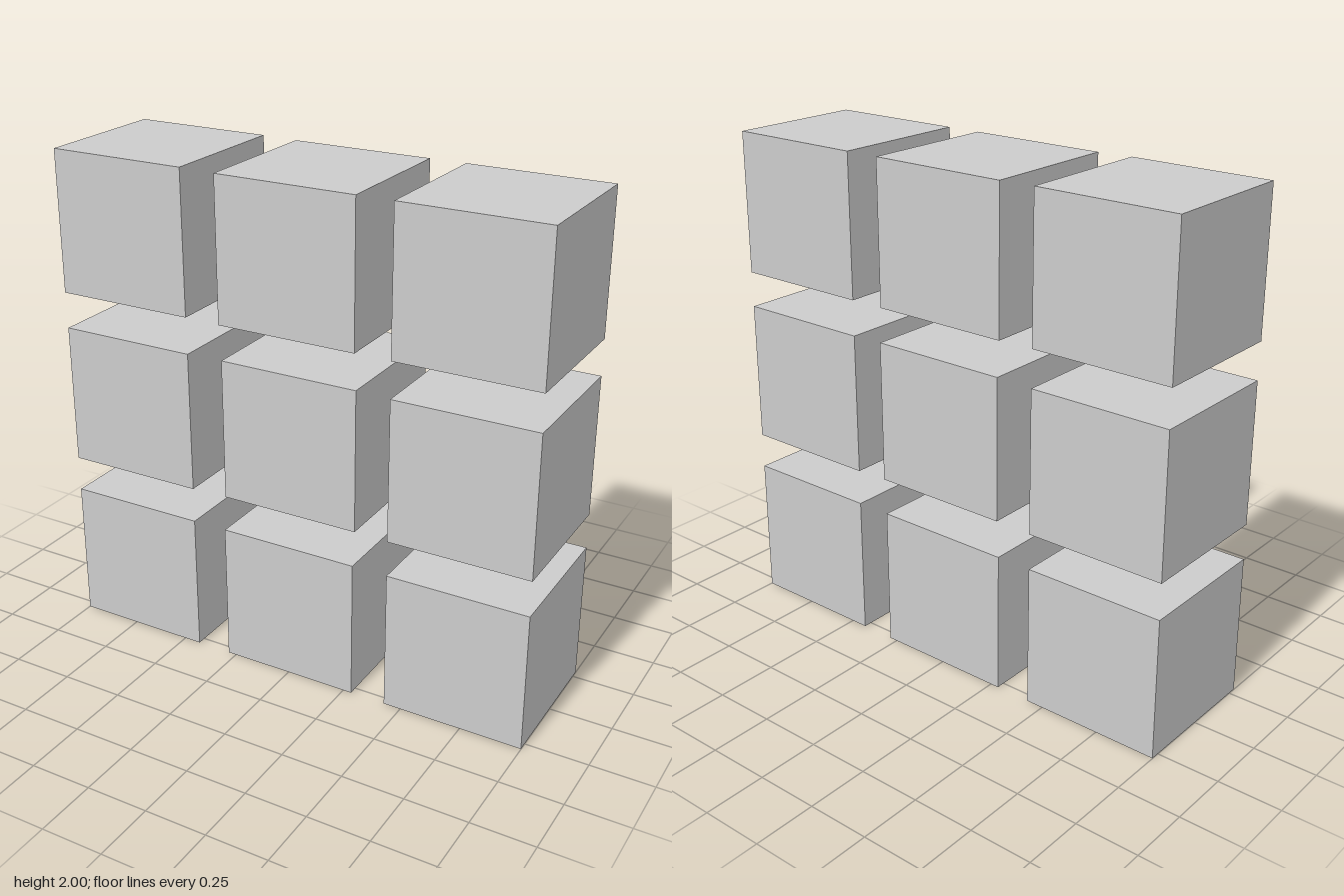
import * as THREE from 'three';

export function createModel() {
  const model = new THREE.Group();
  model.name = 'cubeGrid';

  const size = 0.57;
  const pitch = 0.714;
  const geometry = new THREE.BoxGeometry(size, size, size);
  const material = new THREE.MeshStandardMaterial({ color: 0xcccccc, flatShading: true });

  const rows = ['bottom', 'middle', 'top'];
  const columns = ['Right', 'Centre', 'Left'];
  // Slight hand-placed shifts of single cubes
  const shifts = { middleCentreCube: [0.008, 0.004], topRightCube: [-0.002, 0.003] };

  // Three by three upright wall of separate cubes
  rows.forEach((row, r) => {
    columns.forEach((column, c) => {
      const cube = new THREE.Mesh(geometry, material);
      cube.name = `${row}${column}Cube`;
      const [dx, dy] = shifts[cube.name] ?? [0, 0];
      cube.position.set((c - 1) * pitch + dx, size / 2 + r * pitch + dy, 0);
      model.add(cube);
    });
  });

  return model;
}
